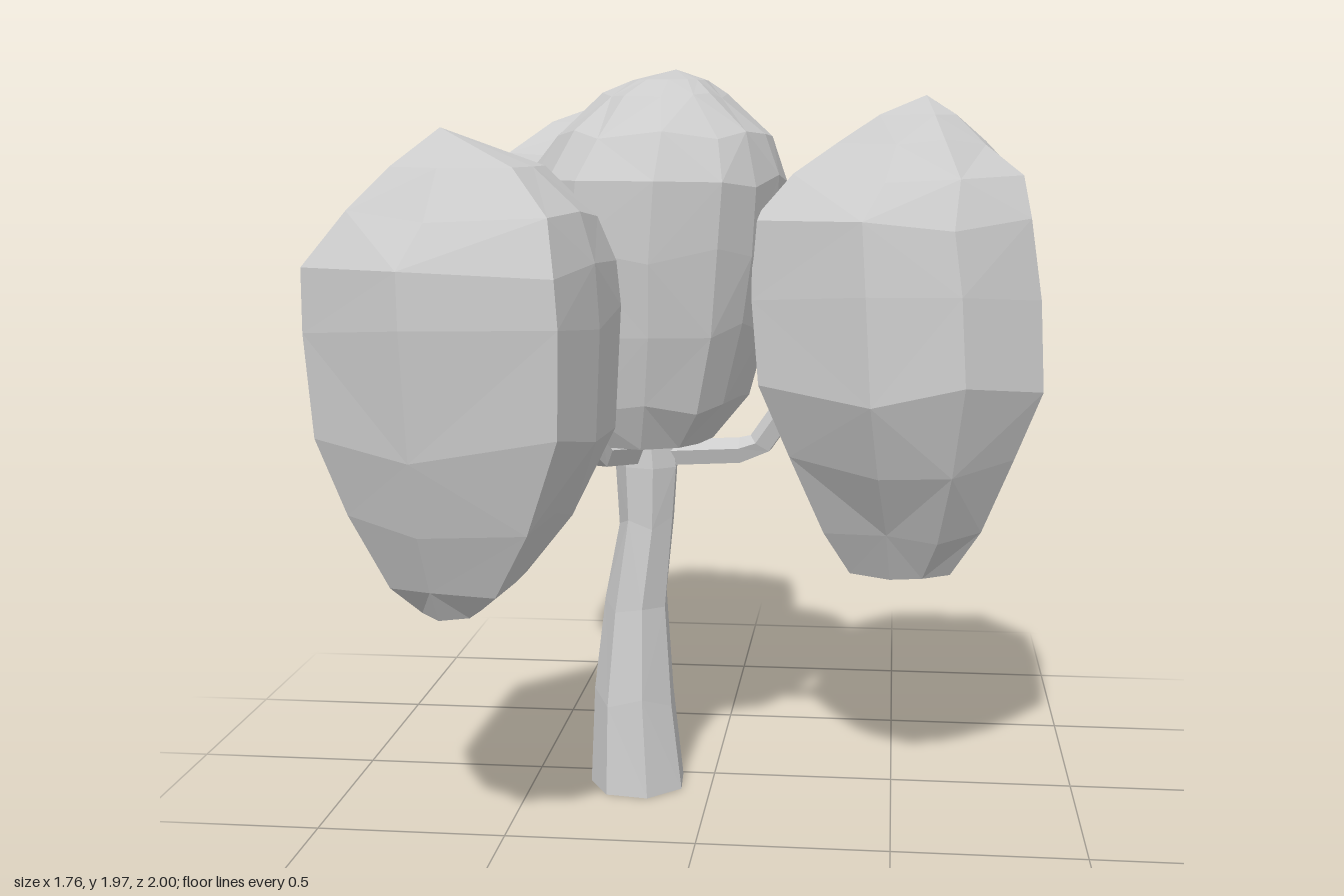
import * as THREE from 'three';

const material = new THREE.MeshStandardMaterial({ color: 0xcccccc, flatShading: true });

// Faceted solid: a plan outline fitted into rows of [y, xMin, xMax, zMin, zMax], closed at both ends.
// The outline runs front, left (+x), back, right. Inner rows waver in height by a share of their spacing.
function loft(name, outline, rows, bottomY, top, waver) {
  const xs = outline.map(p => p[0]), zs = outline.map(p => p[1]);
  const x0 = Math.min(...xs), z0 = Math.min(...zs);
  const w = Math.max(...xs) - x0, d = Math.max(...zs) - z0;
  const n = outline.length, pos = [], index = [];
  rows.forEach(([y, xa, xb, za, zb], j) => {
    const inner = j > 0 && j < rows.length - 1;
    const swing = inner ? waver * (rows[j + 1][0] - rows[j - 1][0]) : 0;
    outline.forEach(([x, z], i) => pos.push(
      xa + (x - x0) / w * (xb - xa),
      y + swing * Math.sin(i * 2.4 + j * 1.7),
      za + (z - z0) / d * (zb - za)));
  });
  const [, xa, xb, za, zb] = rows[0];
  const bottom = rows.length * n, apex = bottom + 1;
  pos.push((xa + xb) / 2, bottomY, (za + zb) / 2, ...top);
  for (let i = 0; i < n; i++) {
    const k = (i + 1) % n, last = (rows.length - 1) * n;
    index.push(k, i, bottom, last + i, last + k, apex);
    for (let j = 0; j < rows.length - 1; j++) {
      const a = j * n + i, b = j * n + k, c = b + n, e = a + n;
      if ((i + j) % 2) index.push(a, b, c, a, c, e);
      else index.push(a, b, e, b, c, e);
    }
  }
  const g = new THREE.BufferGeometry();
  g.setAttribute('position', new THREE.Float32BufferAttribute(pos, 3));
  g.setIndex(index);
  g.computeVertexNormals();
  const mesh = new THREE.Mesh(g, material);
  mesh.name = name;
  return mesh;
}

const polygon = (n, turn) => Array.from({ length: n }, (_, i) => {
  const a = turn + i / n * Math.PI * 2;
  return [Math.sin(a), Math.cos(a)];
});

// Bent branch of constant thickness
function branch(name, radius, points) {
  const path = new THREE.CurvePath();
  const v = points.map(p => new THREE.Vector3(...p));
  for (let i = 1; i < v.length; i++) path.add(new THREE.LineCurve3(v[i - 1], v[i]));
  const mesh = new THREE.Mesh(new THREE.TubeGeometry(path, 8, radius, 5), material);
  mesh.name = name;
  return mesh;
}

export function createModel() {
  const tree = new THREE.Group();
  tree.name = 'tree';

  // Trunk, leaning and narrowing upwards, flared where it forks
  tree.add(loft('trunk', polygon(7, 0.3), [
    [0, -0.34, -0.08, -0.06, 0.21],
    [0.25, -0.33, -0.11, -0.06, 0.18],
    [0.52, -0.30, -0.13, -0.05, 0.14],
    [0.75, -0.26, -0.11, -0.05, 0.12],
    [0.9, -0.27, -0.10, -0.06, 0.12],
    [0.98, -0.27, -0.11, -0.05, 0.11],
  ], 0, [-0.18, 1.0, 0.03], 0.04));

  // Branches, one to each outer crown and one to the middle
  tree.add(
    branch('leftBranch', 0.037, [[-0.2, 0.93, 0.03], [0.12, 0.95, 0.05], [0.25, 1.14, 0.08]]),
    branch('backBranch', 0.04, [[-0.19, 0.94, 0.03], [-0.21, 0.96, -0.24], [-0.26, 1.14, -0.37]]),
    branch('frontBranch', 0.04, [[-0.19, 0.94, 0.03], [-0.28, 0.97, 0.25], [-0.36, 1.13, 0.4]]),
    branch('middleBranch', 0.05, [[-0.19, 0.93, 0.03], [-0.17, 1.1, 0.04]]));

  // Front crown
  tree.add(loft('frontCrown',
    [[-0.6, 1], [-0.26, 0.91], [-0.2, 0.7], [-0.18, 0.5], [-0.36, 0.32], [-0.64, 0.29], [-0.87, 0.52], [-0.88, 0.81]], [
      [0.67, -0.63, -0.49, 0.58, 0.82],
      [0.74, -0.70, -0.40, 0.54, 0.87],
      [0.9, -0.79, -0.29, 0.46, 0.93],
      [1.1, -0.86, -0.19, 0.36, 0.98],
      [1.37, -0.88, -0.18, 0.29, 1.0],
      [1.5, -0.88, -0.19, 0.30, 0.99],
      [1.62, -0.78, -0.23, 0.38, 0.91],
      [1.73, -0.69, -0.35, 0.47, 0.80],
    ], 0.66, [-0.59, 1.82, 0.62], 0.05));

  // Left crown
  tree.add(loft('leftCrown',
    [[0.42, 0.48], [0.66, 0.41], [0.87, 0.23], [0.88, -0.02], [0.69, -0.29], [0.3, -0.31], [0.19, -0.2], [0.12, 0.26]], [
      [0.64, 0.38, 0.65, 0.01, 0.22],
      [0.76, 0.31, 0.73, -0.07, 0.29],
      [0.95, 0.22, 0.81, -0.17, 0.40],
      [1.16, 0.14, 0.88, -0.27, 0.48],
      [1.4, 0.12, 0.87, -0.31, 0.46],
      [1.58, 0.12, 0.84, -0.31, 0.43],
      [1.69, 0.22, 0.82, -0.30, 0.33],
      [1.78, 0.33, 0.72, -0.18, 0.22],
      [1.85, 0.44, 0.64, -0.04, 0.14],
    ], 0.63, [0.56, 1.9, 0.07], 0.05));

  // Back crown, its top drawn towards the back left
  tree.add(loft('backCrown',
    [[-0.38, -0.22], [-0.12, -0.32], [-0.02, -0.46], [-0.06, -0.85], [-0.2, -0.91], [-0.5, -1], [-0.74, -0.8], [-0.74, -0.35]], [
      [0.8, -0.42, -0.17, -0.74, -0.53],
      [0.9, -0.53, -0.11, -0.81, -0.45],
      [1.05, -0.62, -0.06, -0.86, -0.37],
      [1.25, -0.69, -0.03, -0.92, -0.28],
      [1.5, -0.74, -0.02, -1.0, -0.22],
      [1.62, -0.72, -0.03, -0.93, -0.26],
      [1.73, -0.65, -0.07, -0.84, -0.32],
      [1.83, -0.53, -0.16, -0.73, -0.42],
    ], 0.75, [-0.43, 1.87, -0.56], 0.05));

  // Rounder middle crown, broad and flat underneath
  tree.add(loft('middleCrown',
    [[-0.12, 0.41], [0.05, 0.35], [0.13, 0.25], [0.18, 0.1], [0.19, -0.1], [0.13, -0.19], [0.03, -0.28], [-0.1, -0.32],
      [-0.25, -0.3], [-0.38, -0.23], [-0.47, -0.13], [-0.52, 0.02], [-0.5, 0.12], [-0.42, 0.27], [-0.33, 0.36]], [
      [0.99, -0.39, 0.01, -0.19, 0.29],
      [1.1, -0.45, 0.09, -0.24, 0.35],
      [1.3, -0.49, 0.15, -0.29, 0.39],
      [1.5, -0.52, 0.18, -0.32, 0.41],
      [1.68, -0.50, 0.19, -0.31, 0.41],
      [1.8, -0.42, 0.15, -0.26, 0.34],
      [1.9, -0.30, 0.03, -0.17, 0.23],
      [1.94, -0.22, -0.02, -0.10, 0.13],
    ], 0.97, [-0.11, 1.97, -0.06], 0.05));

  return tree;
}
